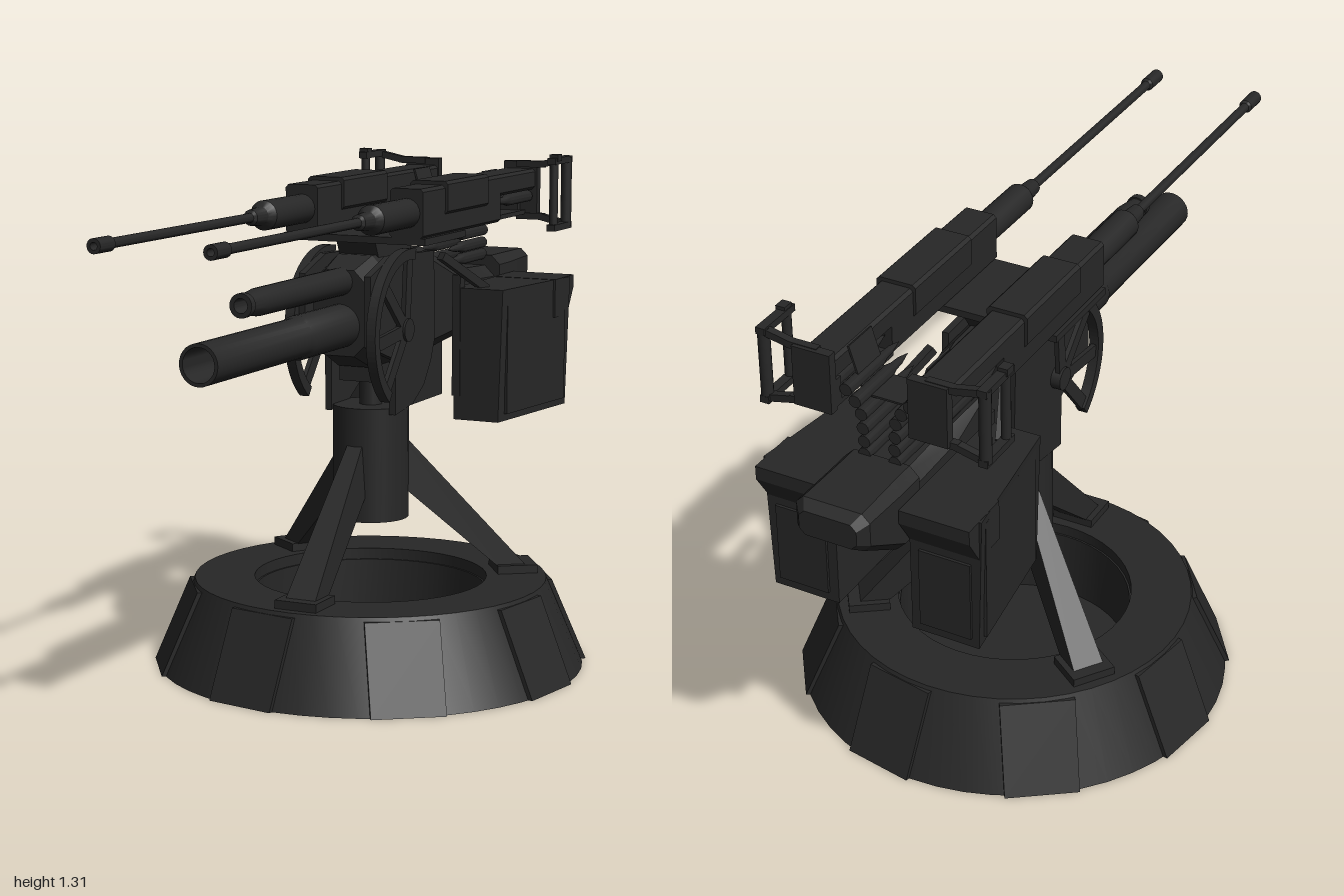
import * as THREE from 'three';
import { toCreasedNormals } from 'three/addons/utils/BufferGeometryUtils.js';

const mat = new THREE.MeshStandardMaterial({ color: 0x272727, side: THREE.DoubleSide });
const AXIS_Z = -0.125; // vertical axis of base and pedestal

function add(parent, name, geo, x = 0, y = 0, z = 0) {
  const m = new THREE.Mesh(geo, mat);
  m.name = name;
  m.position.set(x, y, z);
  parent.add(m);
  return m;
}

// Box given by its limits on each axis
const box = (p, name, x0, x1, y0, y1, z0, z1) =>
  add(p, name, new THREE.BoxGeometry(x1 - x0, y1 - y0, z1 - z0), (x0 + x1) / 2, (y0 + y1) / 2, (z0 + z1) / 2);

// Turned part along z from [z, radius] points
function turned(p, name, profile, x, y, seg = 20) {
  const g = new THREE.LatheGeometry(profile.map(([z, r]) => new THREE.Vector2(r, z)), seg).rotateX(Math.PI / 2);
  return add(p, name, toCreasedNormals(g, 0.6), x, y, 0);
}

// Side outline in (z, y) extruded across x
function sidePlate(p, name, shape, x, thick) {
  const g = new THREE.ExtrudeGeometry(shape, { depth: thick, bevelEnabled: false, curveSegments: 20 });
  g.translate(0, 0, -thick / 2).rotateY(-Math.PI / 2);
  return add(p, name, g, x);
}
const outline = pts => new THREE.Shape(pts.map(([a, b]) => new THREE.Vector2(a, b)));

// Chamfered sections [z, yBottom, yTop, halfWidth, chamfer] joined from front to back
function loft(p, name, stations) {
  const pos = [], idx = [], n = 8;
  for (const [z, b, t, w, c] of stations)
    for (const [x, y] of [[w, b + c], [w, t - c], [w - c, t], [c - w, t], [-w, t - c], [-w, b + c], [c - w, b], [w - c, b]])
      pos.push(x, y, z);
  const e = (stations.length - 1) * n;
  for (let s = 0; s < e; s += n)
    for (let i = 0; i < n; i++) {
      const a = s + i, b = s + (i + 1) % n;
      idx.push(a, a + n, b, b, a + n, b + n);
    }
  for (let i = 1; i < n - 1; i++) idx.push(0, i, i + 1, e, e + i + 1, e + i);
  const g = new THREE.BufferGeometry();
  g.setAttribute('position', new THREE.Float32BufferAttribute(pos, 3));
  g.setIndex(idx);
  return add(p, name, toCreasedNormals(g, 0.3));
}

// Rectangular bar between two points
function bar(p, name, a, b, w, d = w) {
  const A = new THREE.Vector3(...a), B = new THREE.Vector3(...b);
  const m = add(p, name, new THREE.BoxGeometry(w, d, A.distanceTo(B)));
  m.position.copy(A).lerp(B, 0.5);
  m.lookAt(B);
  return m;
}

function buildBase(root) {
  const base = new THREE.Group();
  base.name = 'base';
  base.position.z = AXIS_Z;
  root.add(base);
  // Hollow skirt around a closed central well
  const prof = [[0, 0.004], [0.302, 0.004], [0.302, 0.2], [0.46, 0.2], [0.54, 0], [0.563, 0], [0.465, 0.23], [0.307, 0.23], [0.307, 0.012], [0, 0.012]];
  const g = new THREE.LatheGeometry(prof.map(p => new THREE.Vector2(...p)), 48);
  add(base, 'baseSkirt', toCreasedNormals(g, 0.3));
  // Eight flat-faced blocks set in the skirt
  for (let i = 0; i < 8; i++) {
    const s = outline([[0.44, 0], [0.566, 0], [0.471, 0.22], [0.42, 0.22]]);
    const holder = new THREE.Group();
    holder.name = 'skirtBlock' + (i + 1);
    holder.rotation.y = THREE.MathUtils.degToRad(45 * i - 10);
    base.add(holder);
    sidePlate(holder, 'block', s, 0, 0.19);
  }
  add(base, 'pedestal', new THREE.CylinderGeometry(0.1, 0.1, 0.3, 32), 0, 0.54, 0);
  add(base, 'pivotPost', new THREE.CylinderGeometry(0.03, 0.03, 0.2, 20), 0, 0.76, 0);

  // Three tapering legs with feet
  [0, 125, -125].forEach((deg, i) => {
    const leg = new THREE.Group();
    leg.name = 'leg' + (i + 1);
    leg.rotation.y = THREE.MathUtils.degToRad(deg);
    base.add(leg);
    const s = outline([[0.08, 0.60], [0.08, 0.47], [0.345, 0.24], [0.42, 0.24], [0.1, 0.59]]);
    const m = sidePlate(leg, 'strut', s, 0, 0.084);
    const Q = m.geometry.attributes.position;
    for (let j = 0; j < Q.count; j++) Q.setX(j, Q.getX(j) * (1 - 0.5 * (Q.getY(j) - 0.24) / 0.36));
    m.geometry.computeVertexNormals();
    box(leg, 'foot', -0.058, 0.058, 0.225, 0.252, 0.333, 0.44);
  });
}

function buildCannon(root) {
  const c = new THREE.Group();
  c.name = 'centralGun';
  root.add(c);
  loft(c, 'body', [[0.06, 0.84, 1.06, 0.075, 0.035], [-0.03, 0.8, 1.09, 0.083, 0.035], [-0.33, 0.8, 1.085, 0.083, 0.035],
    [-0.55, 0.82, 1.0, 0.083, 0.03], [-0.8, 0.83, 0.99, 0.083, 0.03]]);
  loft(c, 'breech', [[-0.76, 0.83, 1.02, 0.098, 0.025], [-0.83, 0.83, 1.02, 0.098, 0.025],
    [-0.975, 0.92, 1.02, 0.096, 0.02], [-1.0, 0.935, 1.0, 0.075, 0.015]]);
  turned(c, 'mainBarrel', [[0, 0], [0, 0.056], [0.3, 0.056], [0.31, 0.051], [0.795, 0.051], [0.795, 0.042], [0.5, 0.042], [0.5, 0]], 0, 0.917, 28);
  turned(c, 'upperBarrel', [[0, 0], [0, 0.036], [0.51, 0.034], [0.57, 0.026], [0.57, 0.03], [0.59, 0.03], [0.59, 0.018], [0.5, 0.018], [0.5, 0]], 0, 1.03);
  box(c, 'lowerBlock', -0.05, 0.05, 0.76, 0.82, -0.22, -0.04);
  // Pedestal block carrying the twin guns
  sidePlate(c, 'gunSupport', outline([[-0.03, 1.13], [-0.28, 1.13], [-0.24, 1.07], [-0.06, 1.07]]), 0, 0.11);
  box(c, 'gunBridge', -0.2, 0.2, 1.122, 1.14, -0.28, -0.02);
  box(c, 'beltCrossing', -0.05, 0.05, 1.147, 1.152, -0.72, -0.62);
}

function buildSide(root, s) {
  const g = new THREE.Group();
  g.name = s > 0 ? 'leftSide' : 'rightSide';
  root.add(g);
  const X = (a, b) => s > 0 ? [a, b] : [-b, -a];
  const sbox = (name, x0, x1, ...r) => box(g, name, ...X(x0, x1), ...r);

  // Cradle cheek and trunnion
  sidePlate(g, 'cradleCheek', outline([[0.09, 1.05], [-0.03, 1.09], [-0.3, 1.08], [-0.31, 0.85], [-0.285, 0.79], [-0.24, 0.73],
    [-0.17, 0.69], [-0.06, 0.675], [-0.06, 0.82], [0.09, 0.87]]), s * 0.092, 0.018);
  add(g, 'trunnion', new THREE.CylinderGeometry(0.03, 0.03, 0.03, 20).rotateZ(Math.PI / 2), s * 0.112, 0.895, -0.09);

  // Elevation arc with spokes
  const arc = new THREE.Shape(), a0 = -0.95, a1 = 1.75, cz = -0.09, cy = 0.895;
  arc.absarc(cz, cy, 0.21, a0, a1, false);
  arc.absarc(cz, cy, 0.182, a1, a0, true);
  sidePlate(g, 'elevationArc', arc, s * 0.115, 0.026);
  for (const a of [-0.87, -0.1, 0.75, 1.65])
    bar(g, 'arcSpoke', [s * 0.115, cy, cz], [s * 0.115, cy + 0.195 * Math.sin(a), cz + 0.195 * Math.cos(a)], 0.012, 0.034);

  // Ammunition box, wider toward the rear and the top, with rear lip and edge panels
  const plan = outline([[s * 0.1, 0.44], [s * 0.23, 0.44], [s * 0.278, 0.815], [s * 0.1, 0.815]]);
  const boxGeo = new THREE.ExtrudeGeometry(plan, { depth: 0.36, bevelEnabled: false }).rotateX(-Math.PI / 2);
  const B = boxGeo.attributes.position;
  for (let i = 0; i < B.count; i++) if (Math.abs(B.getX(i)) > 0.2) B.setX(i, B.getX(i) + s * 0.03 * B.getY(i));
  boxGeo.computeVertexNormals();
  add(g, 'ammoBox', boxGeo, 0, 0.605, 0);
  sidePlate(g, 'ammoBoxLip', outline([[-0.72, 0.966], [-0.86, 0.966], [-0.86, 0.93], [-0.815, 0.86], [-0.72, 0.86]]), s * 0.191, 0.182);
  sbox('ammoBoxRearPanel', 0.125, 0.26, 0.63, 0.84, -0.822, -0.81);
  bar(g, 'ammoBoxSidePanel', [s * 0.24, 0.785, -0.47], [s * 0.281, 0.785, -0.79], 0.008, 0.32);
  bar(g, 'boxBrace', [s * 0.1, 1.06, -0.35], [s * 0.165, 0.96, -0.5], 0.022);
  sbox('boxHanger', 0.095, 0.118, 0.67, 1.0, -0.47, -0.437);

  // Upper machine gun
  const gx = s * 0.148;
  turned(g, 'gunBarrel', [[-0.03, 0], [-0.03, 0.038], [0.19, 0.038], [0.21, 0.024], [0.26, 0.02], [0.265, 0.012], [0.93, 0.012],
    [0.935, 0.018], [1.0, 0.018], [1.0, 0.009], [0.94, 0.009], [0.94, 0]], gx, 1.203);
  // Receiver with an open feed window under its rear half
  loft(g, 'gunReceiver', [[-0.02, 1.138, 1.265, 0.046, 0.008], [-0.53, 1.138, 1.265, 0.046, 0.008]]).position.x = gx;
  loft(g, 'receiverRear', [[-0.53, 1.208, 1.265, 0.046, 0.008], [-0.79, 1.208, 1.265, 0.046, 0.008]]).position.x = gx;
  loft(g, 'receiverCover', [[-0.16, 1.19, 1.275, 0.053, 0.008], [-0.43, 1.19, 1.275, 0.053, 0.008]]).position.x = gx;
  sbox('feedTray', 0.1, 0.165, 1.138, 1.15, -0.79, -0.53);
  sbox('feedWall', 0.1, 0.15, 1.14, 1.21, -0.79, -0.76);
  sbox('rearPlate', 0.1, 0.2, 1.13, 1.285, -0.805, -0.78);

  // Side grip frame
  for (const [y, inner] of [[1.113, 1.133], [1.295, 1.278]]) {
    bar(g, 'gripArm', [s * 0.14, inner, -0.785], [s * 0.22, inner, -0.785], 0.02, 0.018);
    bar(g, 'gripArmOuter', [s * 0.21, inner, -0.785], [s * 0.295, y, -0.785], 0.02, 0.018);
    bar(g, 'gripFork', [s * 0.285, y, -0.67], [s * 0.285, y, -0.8], 0.024, 0.018);
  }
  add(g, 'rearGrip', new THREE.CylinderGeometry(0.015, 0.015, 0.19, 14), s * 0.285, 1.205, -0.785);
  add(g, 'frontGrip', new THREE.CylinderGeometry(0.012, 0.012, 0.19, 14), s * 0.285, 1.205, -0.69);
  sbox('gripTop', 0.275, 0.3, 1.295, 1.313, -0.71, -0.68);

  // Cartridge belt running from the feed window down toward the breech
  const cartridges = [[0.175, 1.19], [0.12, 1.19], [0.083, 1.182], [0.06, 1.157], [0.045, 1.127], [0.042, 1.09], [0.04, 1.055], [0.04, 1.022]];
  for (const [x, y] of cartridges)
    turned(g, 'cartridge', [[-0.77, 0], [-0.77, 0.016], [-0.62, 0.016], [-0.6, 0.011], [-0.57, 0.009], [-0.53, 0]], s * x, y, 12);
  const strip = [[0.103, 1.265], [0.07, 1.16], [0.05, 1.15]];
  for (let i = 0; i < 2; i++)
    bar(g, 'beltGuide', [s * strip[i][0], strip[i][1], -0.67], [s * strip[i + 1][0], strip[i + 1][1], -0.67], 0.1, 0.005);
}

export function createModel() {
  const root = new THREE.Group();
  root.name = 'twinGunMount';
  buildBase(root);
  buildCannon(root);
  for (const s of [1, -1]) buildSide(root, s);
  return root;
}
